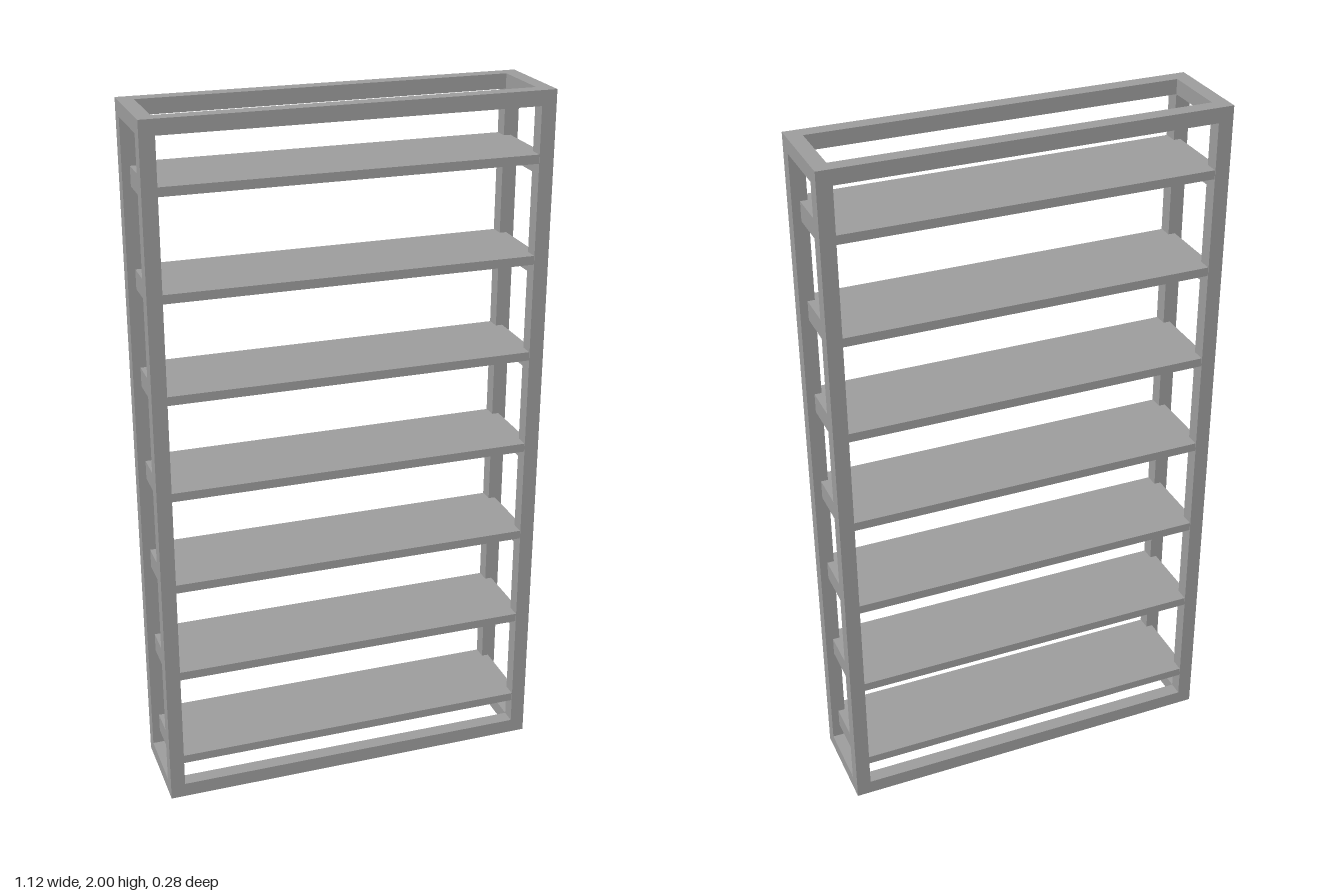
import * as THREE from 'three';

const W = 1.124, H = 2, D = 0.276; // overall size
const T = 0.042;                   // square tube of the frame

export function createModel() {
  const model = new THREE.Group();
  const material = new THREE.MeshStandardMaterial({ color: 0x9c9c9c });

  const addBox = (name, w, h, d, x, y, z) => {
    const mesh = new THREE.Mesh(new THREE.BoxGeometry(w, h, d), material);
    mesh.name = name;
    mesh.position.set(x, y, z);
    model.add(mesh);
  };

  const px = (W - T) / 2, pz = (D - T) / 2;
  const innerW = W - 2 * T, innerD = D - 2 * T;

  // Corner posts
  for (const sx of [-1, 1])
    for (const sz of [-1, 1]) addBox('post', T, H, T, sx * px, H / 2, sz * pz);

  // Top and bottom rectangular rings
  for (const [name, y] of [['bottom', T / 2], ['top', H - T / 2]])
    for (const s of [-1, 1]) {
      addBox(name + 'LongRail', innerW, T, T, 0, y, s * pz);
      addBox(name + 'SideRail', T, T, innerD, s * px, y, 0);
    }

  // Shelves, each with a deeper support plate set back between the posts at both ends
  const shelfT = 0.025, plateH = 0.055, plateT = 0.02;
  for (let i = 0; i < 7; i++) {
    const top = 0.139 + i * 0.2815;
    addBox('shelf', innerW, shelfT, D - 0.004, 0, top - shelfT / 2, 0);
    for (const s of [-1, 1])
      addBox('shelfSupport', plateT, plateH, innerD, s * (innerW + plateT) / 2, top - plateH / 2, 0);
  }

  return model;
}
